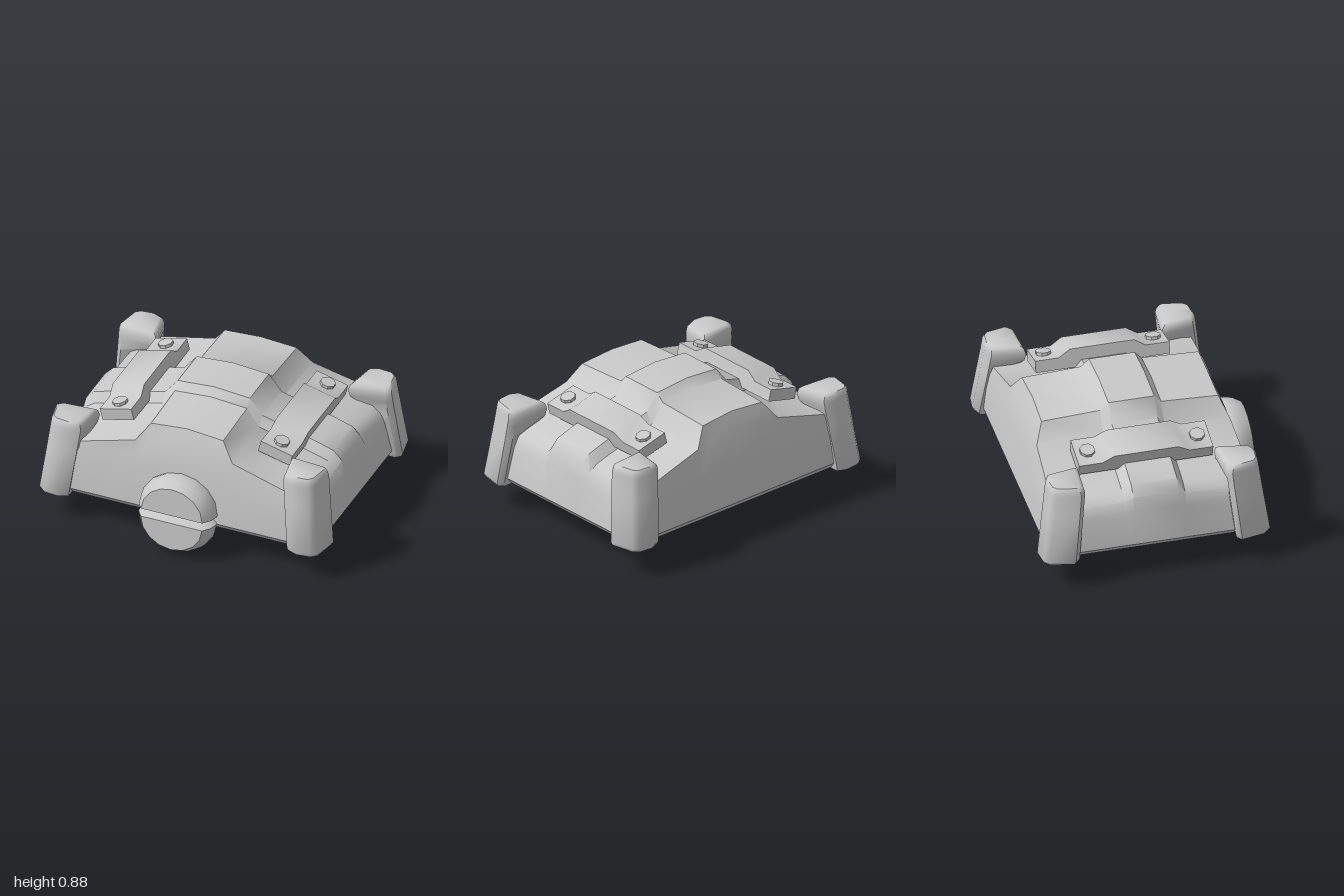
import * as THREE from 'three';
import { toCreasedNormals, mergeGeometries } from 'three/addons/utils/BufferGeometryUtils.js';

const ZC = -0.04; // middle of the lid in z

// Skin a list of equal-length point rows; optionally close them and cap the ends
function loft(rows, { closed = false, capStart = false, capEnd = false, crease = 0.5 } = {}) {
  const pos = [];
  const tri = (a, b, c) => pos.push(...a, ...b, ...c);
  const n = rows[0].length;
  for (let r = 0; r + 1 < rows.length; r++) {
    for (let c = 0; c < (closed ? n : n - 1); c++) {
      const d = (c + 1) % n, A = rows[r], B = rows[r + 1];
      tri(A[c], A[d], B[d]);
      tri(A[c], B[d], B[c]);
    }
  }
  const cap = (row, flip) => {
    const m = [0, 1, 2].map(k => row.reduce((s, p) => s + p[k], 0) / n);
    row.forEach((p, i) => {
      const q = row[(i + 1) % n];
      if (flip) tri(q, p, m); else tri(p, q, m);
    });
  };
  if (capStart) cap(rows[0], true);
  if (capEnd) cap(rows[rows.length - 1], false);
  const g = new THREE.BufferGeometry();
  g.setAttribute('position', new THREE.Float32BufferAttribute(pos, 3));
  return toCreasedNormals(g, crease);
}

const mirrorProfile = half => [...half.slice(1).reverse().map(([x, y]) => [-x, y]), ...half];

// Half depth of the bulging end walls at a given height
function wallDepth(y) {
  const k = [[0.187, 0.66], [0.235, 0.7], [0.42, 0.686], [0.53, 0.665], [0.6, 0.645], [0.68, 0.632],
    [0.795, 0.58], [0.84, 0.568]];
  for (let i = 1; i < k.length; i++) {
    if (y <= k[i][0] || i === k.length - 1) {
      return THREE.MathUtils.mapLinear(y, k[i - 1][0], k[i][0], k[i - 1][1], k[i][1]);
    }
  }
}

// Lid shell: arched section with a raised band across the middle and sloping end walls
function lidGeometry() {
  const low = mirrorProfile([[0, 0.835], [0.25, 0.815], [0.337, 0.695], [0.7, 0.6], [0.81, 0.567],
    [0.87, 0.525], [0.9, 0.455], [0.94, 0.235], [0.9, 0.187]]);
  const high = mirrorProfile([[0, 0.885], [0.25, 0.865], [0.337, 0.757], [0.71, 0.66], [0.83, 0.622],
    [0.888, 0.56], [0.91, 0.465], [0.94, 0.235], [0.9, 0.187]]);
  const end = low.map(([x, y]) => [x, y > 0.5 ? y - 0.018 : y]);
  const wallRow = (t, s) => end.map(([x, y]) => {
    if (t < 0) return [THREE.MathUtils.clamp(x, -0.9, 0.9), 0.187, ZC + s * wallDepth(0.187)];
    const yy = Math.min(y, 0.235) + Math.max(0, y - 0.235) * t;
    return [x, yy, ZC + s * wallDepth(yy)];
  });
  const flatRow = (p, z) => p.map(([x, y]) => [x, y, z]);
  const steps = [-1, 0, 0.5, 0.8, 1];
  return loft([
    ...steps.map(t => wallRow(t, 1)),
    flatRow(low, 0.165), flatRow(high, 0.12), flatRow(high, -0.18), flatRow(low, -0.235),
    ...steps.slice().reverse().map(t => wallRow(t, -1)),
  ], { crease: 0.72 });
}

// Underside: flat rim and hollow interior
function hollowGeometry() {
  const ring = (x, z, y) => [[-x, y, ZC + z], [-x, y, ZC - z], [x, y, ZC - z], [x, y, ZC + z]];
  return loft([ring(0.9, 0.66, 0.187), ring(0.808, 0.568, 0.187), ring(0.795, 0.555, 0.485)],
    { closed: true, capEnd: true });
}

// Corner guard: kite-shaped block leaning inwards, its inner edge jutting over the lid near the softened top
function cornerGeometry(sx, sz) {
  const bottom = [[0.76, 0.525], [0.757, 0.728], [0.83, 0.757], [0.93, 0.745], [0.967, 0.71], [1, 0.545], [0.967, 0.513]];
  const top = [[0.665, 0.445], [0.703, 0.662], [0.77, 0.693], [0.88, 0.682], [0.915, 0.65], [0.947, 0.495], [0.912, 0.463]];
  const ring = (t, inset, y, inner) => {
    const r = bottom.map(([x, z], i) => {
      const [px, pz] = inner && i === 0 ? inner
        : [THREE.MathUtils.lerp(x, top[i][0], t), THREE.MathUtils.lerp(z, top[i][1], t)];
      return [sx * THREE.MathUtils.lerp(px, 0.83, inset), y, ZC + sz * THREE.MathUtils.lerp(pz, 0.6, inset)];
    });
    return sx * sz < 0 ? r.reverse() : r;
  };
  return loft([
    ring(0, 0.08, 0.183), ring(0, 0, 0.205), ring(0.7, 0, 0.525, [0.752, 0.513]), ring(0.9, 0, 0.62),
    ring(1, 0, 0.67), ring(1, 0.06, 0.705), ring(1, 0.2, 0.722),
  ], { closed: true, capStart: true, capEnd: true, crease: 0.85 });
}

// Strap: stepped profile along z, extruded across its width
function strapGeometry() {
  const half = [[0.44, 0.03], [0.285, 0.03], [0.21, 0.078]];
  const pts = [[0.44, -0.05], ...half, ...half.slice().reverse().map(([z, y]) => [-z, y]), [-0.44, -0.05]];
  const shape = new THREE.Shape(pts.map(([z, y]) => new THREE.Vector2(z, y)));
  const g = new THREE.ExtrudeGeometry(shape, { depth: 0.225, bevelEnabled: false });
  return toCreasedNormals(g.translate(0, 0, -0.1125).rotateY(-Math.PI / 2), 0.65);
}

// Half of the round clasp, its split side tapering into the groove
function claspHalfGeometry() {
  const prof = [[0.228, -0.115], [0.252, -0.07], [0.264, -0.015], [0.25, 0.045], [0.212, 0.098]];
  const pts = [[0, -0.115], ...prof, [0, 0.098]].map(([r, z]) => new THREE.Vector2(r, z));
  const dome = new THREE.LatheGeometry(pts, 8, Math.PI / 2, Math.PI)
    .rotateX(Math.PI / 2).scale(1, 0.91, 1).translate(0, 0.028, 0);
  dome.deleteAttribute('uv');
  const outline = [...prof, ...prof.slice().reverse().map(([r, z]) => [-r, z])];
  const groove = loft([
    outline.map(([x, z]) => [x, 0.028, z]),
    outline.map(([x, z]) => [x * 0.83, 0, z * 0.7 - 0.035]),
  ], { closed: true });
  return mergeGeometries([toCreasedNormals(dome, 0.6), groove]);
}

export function createModel() {
  const model = new THREE.Group();
  model.name = 'chestLid';
  const grey = new THREE.MeshStandardMaterial({ color: 0xc9c9c9, side: THREE.DoubleSide });
  grey.name = 'plain grey';
  const add = (name, geometry, parent = model) => {
    const mesh = new THREE.Mesh(geometry, grey);
    mesh.name = name;
    parent.add(mesh);
    return mesh;
  };

  add('lidShell', lidGeometry());
  add('lidHollow', hollowGeometry());

  for (const sx of [1, -1]) {
    const side = sx > 0 ? 'left' : 'right';
    for (const sz of [1, -1]) add(`${side}${sz > 0 ? 'Front' : 'Back'}Corner`, cornerGeometry(sx, sz));

    // Strap with its two bolts, tilted to the slope of the lid
    const strap = new THREE.Group();
    strap.name = `${side}Strap`;
    strap.position.set(sx * 0.552, 0.706, ZC);
    strap.rotation.z = -sx * 0.245;
    add('strapPlate', strapGeometry(), strap);
    for (const z of [0.36, -0.36]) {
      const bolt = add('bolt', toCreasedNormals(new THREE.CylinderGeometry(0.05, 0.05, 0.03, 8), 0.3), strap);
      bolt.position.set(0, 0.036, z);
      bolt.rotation.y = Math.PI / 8;
    }
    model.add(strap);
  }

  // Split round clasp on the front, leaning back slightly
  const clasp = new THREE.Group();
  clasp.name = 'clasp';
  clasp.position.set(0, 0.272, 0.69);
  clasp.rotation.x = -0.06;
  add('claspTop', claspHalfGeometry(), clasp);
  add('claspBottom', claspHalfGeometry(), clasp).rotation.z = Math.PI;
  model.add(clasp);

  return model;
}
